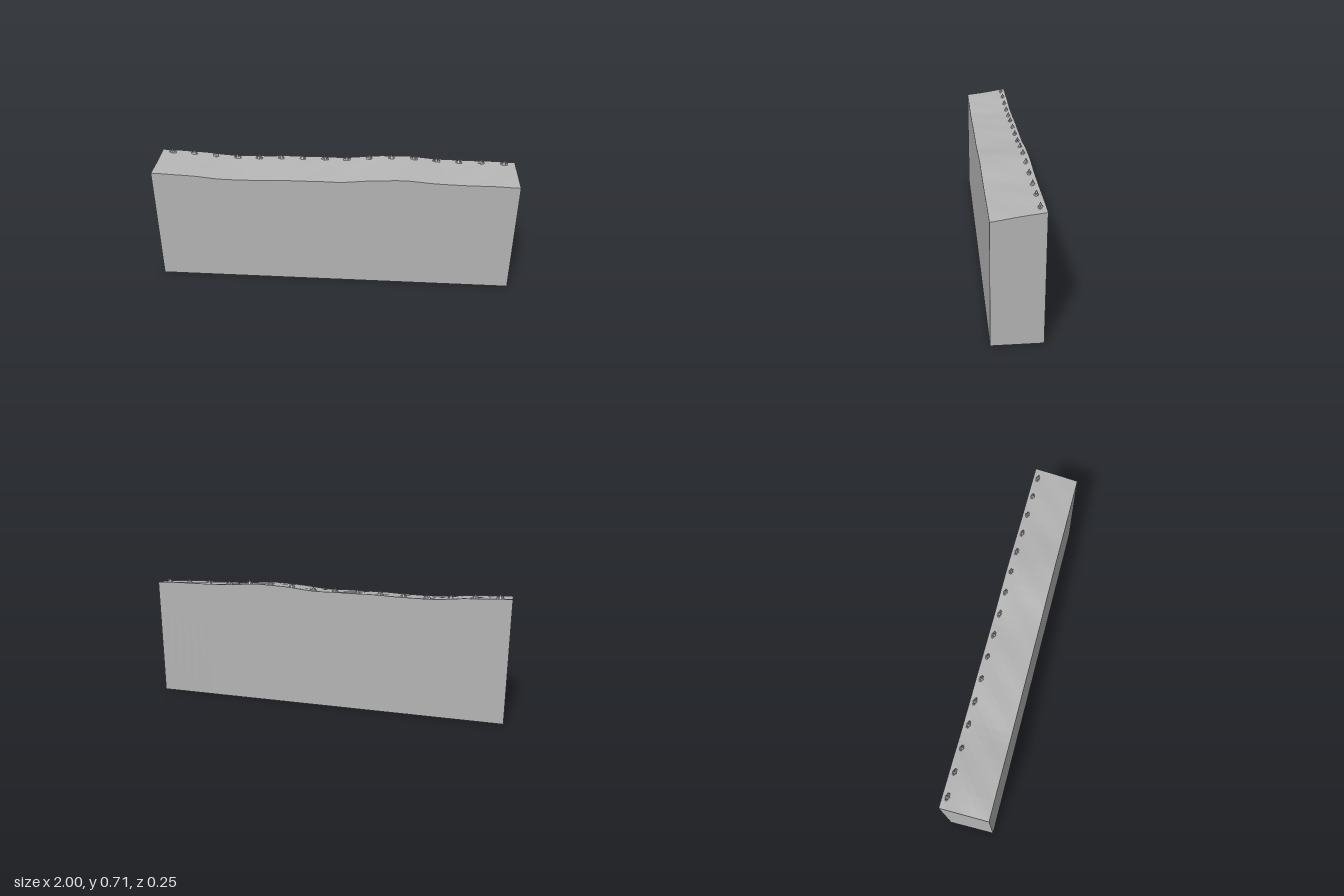
import * as THREE from 'three';

const stone = new THREE.MeshStandardMaterial({ color: 0xb4b4b4, flatShading: true });
stone.name = 'pale grey';

// Ridge height along x at mid depth, as (x, height) points
const ridge = new THREE.SplineCurve([
  [-1.0, 0.662], [-0.9, 0.661], [-0.75, 0.652], [-0.57, 0.639], [-0.4, 0.642], [-0.2, 0.646],
  [0.0, 0.645], [0.12, 0.651], [0.25, 0.663], [0.38, 0.666], [0.5, 0.659], [0.62, 0.651],
  [0.8, 0.650], [1.0, 0.646],
].map(([x, y]) => new THREE.Vector2(x, y)));
const ridgePoints = ridge.getPoints(130);

// Ground height: ridge curve, rising to the back, with faint diagonal ripples
function groundHeight(x, z) {
  let i = 1;
  while (i < ridgePoints.length - 1 && ridgePoints[i].x < x) i++;
  const a = ridgePoints[i - 1], b = ridgePoints[i];
  const y = a.y + (b.y - a.y) * (x - a.x) / (b.x - a.x);
  return y - z * 0.144 + 0.001 * Math.sin((x + z) * 27);
}

// Solid block whose top follows the ground
function makeBlock() {
  const geometry = new THREE.BoxGeometry(2, 1, 0.25, 40, 1, 6);
  const p = geometry.attributes.position;
  for (let i = 0; i < p.count; i++) {
    p.setY(i, p.getY(i) > 0 ? groundHeight(p.getX(i), p.getZ(i)) : 0);
  }
  geometry.computeVertexNormals();
  const mesh = new THREE.Mesh(geometry, stone);
  mesh.name = 'groundBlock';
  return mesh;
}

// Tuft: tall middle blade between two short ones
function makeTuft(index) {
  const tuft = new THREE.Group();
  tuft.name = 'grassTuft';
  const width = [1.15, 0.9, 0.8, 1.1][index % 4];
  for (const side of [-1, 0, 1]) {
    const height = side ? 0.019 : 0.028;
    const geometry = new THREE.ConeGeometry(side ? 0.009 : 0.013, height, 5);
    geometry.translate(0, height / 2 - 0.002, 0);
    const blade = new THREE.Mesh(geometry, stone);
    blade.name = 'blade';
    blade.position.set(side * 0.012 * width, 0, side * 0.002);
    blade.rotation.set(0, index * 0.7 + side, -side * 0.15);
    tuft.add(blade);
  }
  return tuft;
}

export function createModel() {
  const model = new THREE.Group();
  model.name = 'groundStrip';
  model.add(makeBlock());

  // Row of tufts along the back edge
  for (let i = 0; i < 16; i++) {
    const x = -0.9375 + i * 0.125, z = -0.1;
    const tuft = makeTuft(i);
    tuft.position.set(x, groundHeight(x, z), z);
    model.add(tuft);
  }
  return model;
}
